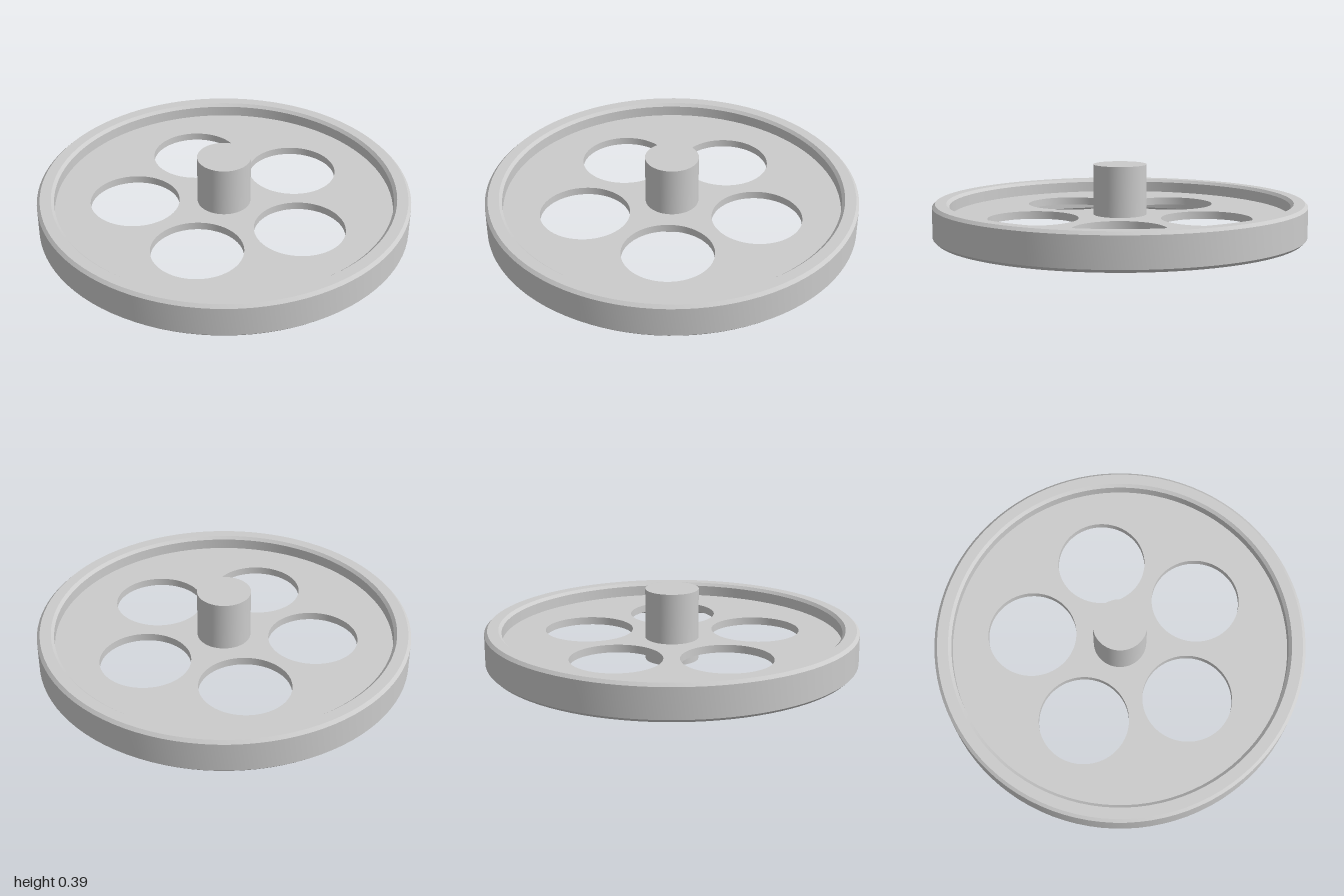
import * as THREE from 'three';
import { toCreasedNormals } from 'three/addons/utils/BufferGeometryUtils.js';

const SEGMENTS = 96;

export function createModel() {
  const wheel = new THREE.Group();
  wheel.name = 'wheel';
  const material = new THREE.MeshStandardMaterial({ color: 0xcccccc });

  function add(name, geometry) {
    const mesh = new THREE.Mesh(toCreasedNormals(geometry, Math.PI / 6), material);
    mesh.name = name;
    wheel.add(mesh);
    return mesh;
  }

  // Rim: a ring with all four edges chamfered
  const outer = 1, inner = 0.909, height = 0.192, bevel = 0.016;
  const profile = [
    [inner, bevel], [inner + bevel, 0], [outer - bevel, 0], [outer, bevel],
    [outer, height - bevel], [outer - bevel, height],
    [inner + bevel, height], [inner, height - bevel], [inner, bevel],
  ].map(([r, y]) => new THREE.Vector2(r, y));
  add('rim', new THREE.LatheGeometry(profile, SEGMENTS));

  // Web: a thin disc at mid height with five round holes, its edge sunk in the rim
  const thickness = 0.042;
  const disc = new THREE.Shape().absarc(0, 0, inner + 0.01, 0, Math.PI * 2);
  for (let i = 0; i < 5; i++) {
    const angle = Math.PI / 2 + (i * Math.PI * 2) / 5;
    disc.holes.push(new THREE.Path().absarc(
      0.48 * Math.cos(angle), 0.48 * Math.sin(angle), 0.24, 0, Math.PI * 2, true));
  }
  const web = new THREE.ExtrudeGeometry(disc, {
    depth: thickness, bevelEnabled: false, curveSegments: SEGMENTS / 2,
  });
  web.rotateX(-Math.PI / 2);
  add('web', web).position.y = (height - thickness) / 2;

  // Hub: a solid pin from the base to well above the rim
  const hubHeight = 0.387;
  add('hub', new THREE.CylinderGeometry(0.143, 0.143, hubHeight, 64))
    .position.y = hubHeight / 2;

  return wheel;
}
